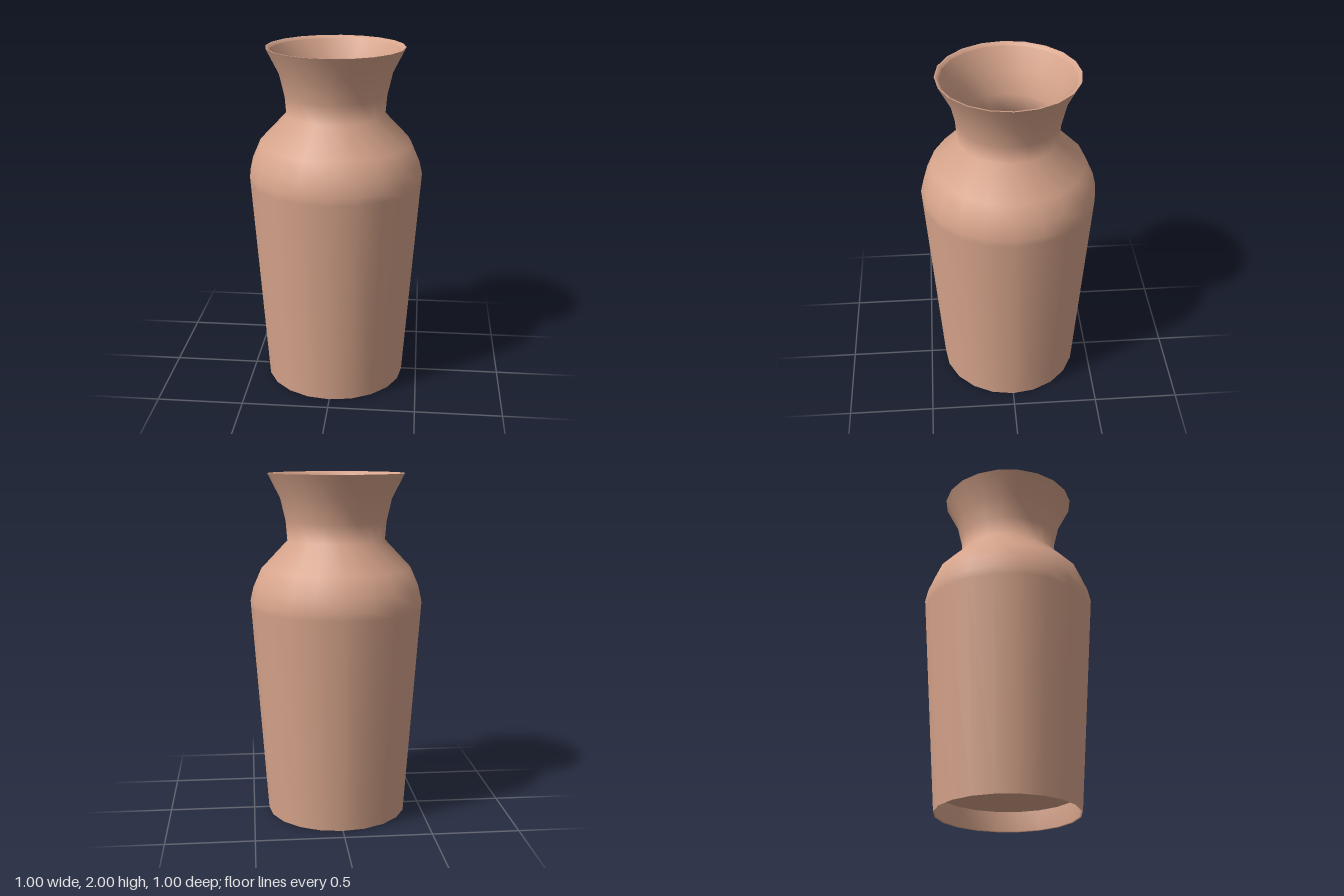
import * as THREE from 'three';

const SIDES = 20;

// Revolve a list of [radius, height] points around the y axis.
function revolve(name, profile, material) {
  const points = profile.map(([r, y]) => new THREE.Vector2(r, y));
  const mesh = new THREE.Mesh(new THREE.LatheGeometry(points, SIDES), material);
  mesh.name = name;
  return mesh;
}

export function createModel() {
  const vase = new THREE.Group();
  vase.name = 'vase';
  const clay = new THREE.MeshStandardMaterial({ color: 0xd8a58c });
  clay.name = 'terracotta';

  // Outer wall: tapered body, rounded shoulder, narrow neck and flared mouth
  const outer = [
    [0.41, 0], [0.497, 1.23], [0.5, 1.275], [0.483, 1.35], [0.435, 1.46],
    [0.283, 1.62], [0.292, 1.73], [0.322, 1.86], [0.393, 2.0],
  ];
  // Lip folding over into the hollow inside
  const lip = [[0.383, 2.0], [0.37, 1.985]];
  // Inner wall down to the floor
  const inner = [
    [0.302, 1.86], [0.273, 1.73], [0.268, 1.62], [0.415, 1.45],
    [0.475, 1.27], [0.395, 0.16], [0, 0.15],
  ];
  vase.add(revolve('outerWall', outer, clay));
  vase.add(revolve('lip', [outer.at(-1), ...lip], clay));
  vase.add(revolve('innerWall', [lip.at(-1), ...inner], clay));

  // Recessed underside with a thin foot ring
  vase.add(revolve('underside', [[0, 0.12], [0.405, 0.12]], clay));
  vase.add(revolve('footRing', [[0.405, 0.12], [0.4, 0.004], [0.41, 0]], clay));
  return vase;
}
